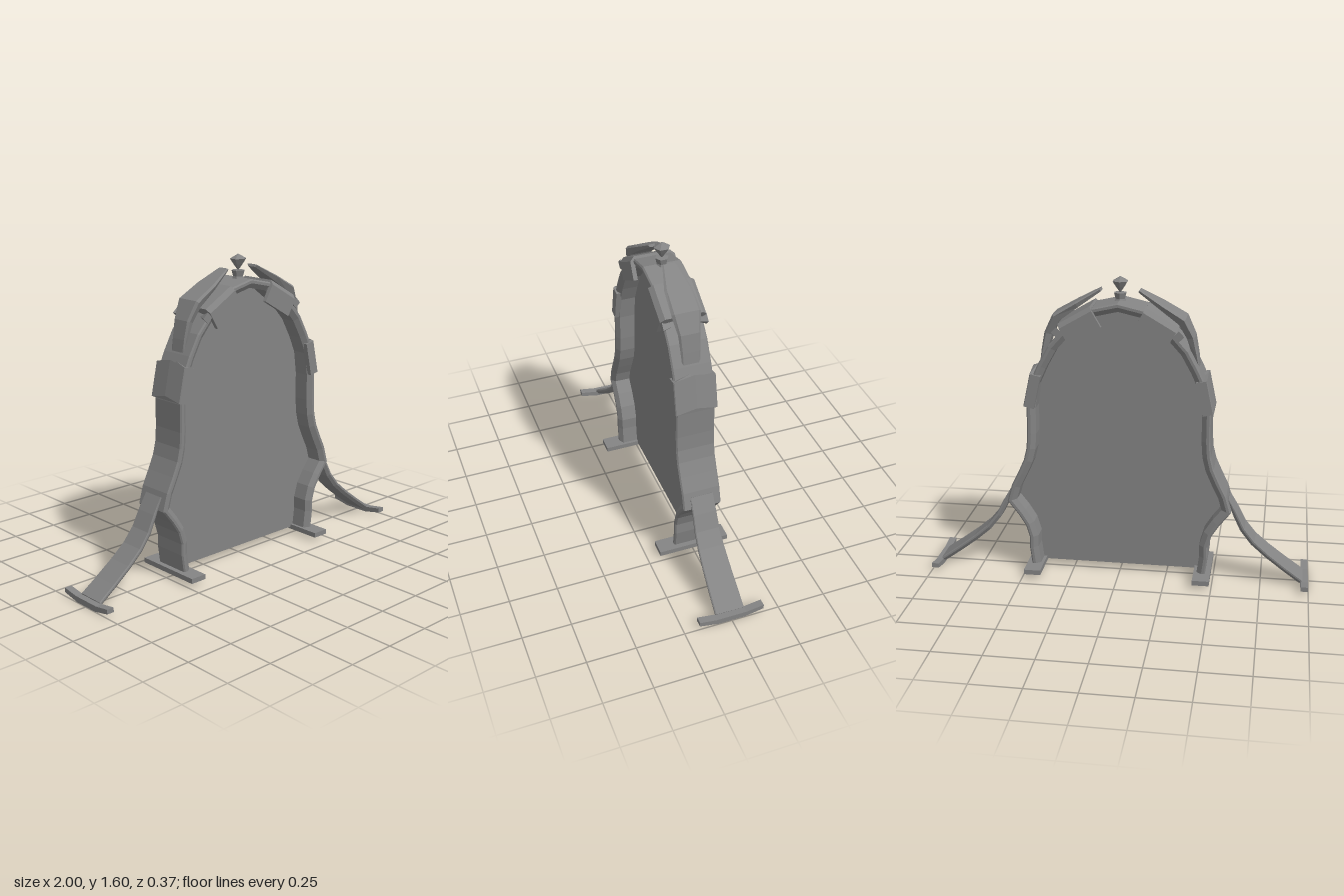
import * as THREE from 'three';

const color = 0x848484;
const material = new THREE.MeshStandardMaterial({ color, flatShading: true });
const panelMaterial = new THREE.MeshStandardMaterial({ color, side: THREE.DoubleSide });

// Sweeps a section along a path in the xy plane. Section points are [z, outward, lift along path],
// counter-clockwise; section(i) returns them for path point i. side = -1 mirrors the part in x.
function sweep(path, section, side = 1) {
  const pts = path.map(([x, y]) => new THREE.Vector2(x, y));
  const dir = (i) => pts[i + 1].clone().sub(pts[i]).normalize();
  const last = pts.length - 1;
  const count = section(0).length;
  const position = [], index = [];
  pts.forEach((p, i) => {
    const a = dir(Math.max(i - 1, 0)), b = dir(Math.min(i, last - 1));
    const t = a.clone().add(b).normalize();
    const miter = Math.min(1 / Math.max(t.dot(a), 0.1), 1.5);
    for (const [z, n, lift = 0] of section(i)) {
      position.push(side * (p.x + t.y * n * miter + t.x * lift), p.y - t.x * n * miter + t.y * lift, z);
    }
  });
  const face = (a, b, c) => (side > 0 ? index.push(a, b, c) : index.push(a, c, b));
  for (let i = 0; i < last; i++) {
    for (let j = 0; j < count; j++) {
      const k = (j + 1) % count, r = i * count, s = r + count;
      face(r + j, r + k, s + k);
      face(r + j, s + k, s + j);
    }
  }
  const flat = section(0).map(([z, n]) => new THREE.Vector2(z, n));
  for (const [a, b, c] of THREE.ShapeUtils.triangulateShape(flat, [])) {
    face(a, c, b);
    face(last * count + a, last * count + b, last * count + c);
  }
  const indexed = new THREE.BufferGeometry();
  indexed.setAttribute('position', new THREE.Float32BufferAttribute(position, 3));
  indexed.setIndex(index);
  const geometry = indexed.toNonIndexed();
  geometry.computeVertexNormals();
  return geometry;
}

// Strip with a small outer chamfer and bevelled inner edges
const strip = (w, t) => [
  [w, -t * 0.45], [w, -t * 0.15], [w * 0.93, 0], [-w * 0.93, 0], [-w, -t * 0.15],
  [-w, -t * 0.45], [-w * 0.82, -t], [w * 0.82, -t],
];
// Plate, widest just under its outer face
const plate = (w, t) => [
  [w, -t * 0.25], [w * 0.82, 0], [-w * 0.82, 0], [-w, -t * 0.25], [-w * 0.78, -t], [w * 0.78, -t],
];
// Saddle clamped over the strip, with chamfered corners and a ridge along its middle
const saddle = (w, depth, t, chamfer, ridge, lift) => [
  [w, -depth], [w, -ridge - chamfer], [w - chamfer, -ridge], [0, 0, lift],
  [chamfer - w, -ridge], [-w, -ridge - chamfer], [-w, -depth],
  [t - w, -depth], [t - w, -t - ridge - chamfer], [0, -t, lift], [w - t, -t - ridge - chamfer], [w - t, -depth],
];

// Shallow cross bar, lower in the middle, running along z
function crossBar(h, width) {
  const shape = new THREE.Shape([
    [-h, 0.02], [-0.07, 0], [0.07, 0], [h, 0.02], [h, 0.044], [0.08, 0.03], [-0.08, 0.03], [-h, 0.044],
  ].map(([x, y]) => new THREE.Vector2(x, y)));
  return new THREE.ExtrudeGeometry(shape, { depth: width, bevelEnabled: false })
    .translate(0, 0, -width / 2).rotateY(Math.PI / 2);
}

export function createModel() {
  const group = new THREE.Group();
  const add = (name, geometry, mat = material) => {
    const mesh = new THREE.Mesh(geometry, mat);
    mesh.name = name;
    group.add(mesh);
    return mesh;
  };

  // Arched frame: outer line of one half, then mirrored
  const half = [
    [0.46, 0.03], [0.474, 0.14], [0.473, 0.2], [0.492, 0.265], [0.53, 0.325], [0.588, 0.4], [0.562, 0.49],
    [0.525, 0.565], [0.494, 0.635], [0.478, 0.7], [0.472, 0.78], [0.472, 0.92], [0.455, 1.05],
    [0.41, 1.15], [0.355, 1.25], [0.27, 1.345], [0.13, 1.45],
  ];
  const mirrored = half.map(([x, y]) => [-x, y]).reverse();
  const arch = [...half, [0, 1.48], ...mirrored];
  add('archFrame', sweep(arch, () => strip(0.1, 0.045)));

  // Thin panel filling the arch
  const outline = arch.map(([x, y]) => new THREE.Vector2(x - Math.sign(x) * 0.022, y < 0.1 ? 0.035 : y - (y > 1.2 ? 0.025 : 0)));
  add('panel', new THREE.ShapeGeometry(new THREE.Shape(outline)), panelMaterial);

  // Flared leg: x, y, half width, thickness
  const leg = [
    [0.97, 0.038, 0.076, 0.028], [0.88, 0.102, 0.074, 0.028], [0.79, 0.17, 0.071, 0.028], [0.715, 0.235, 0.068, 0.028],
    [0.66, 0.305, 0.065, 0.028], [0.62, 0.385, 0.062, 0.026], [0.573, 0.465, 0.06, 0.01],
  ];
  // Shoulder plate: x, y, half width, thickness
  const shoulder = [
    [0.408, 1.14, 0.045, 0.012], [0.397, 1.22, 0.05, 0.03], [0.38, 1.31, 0.056, 0.04], [0.335, 1.405, 0.074, 0.045],
    [0.22, 1.47, 0.068, 0.03], [0.1, 1.535, 0.034, 0.014],
  ];

  for (const side of [1, -1]) {
    const label = side > 0 ? 'left' : 'right';
    add(label + 'FlaredLeg', sweep(leg, (i) => strip(leg[i][2], leg[i][3]), side));
    add(label + 'ShoulderPlate', sweep(shoulder, (i) => plate(shoulder[i][2], shoulder[i][3]), side));
    add(label + 'TopClamp', sweep([[0.303, 1.365], [0.14, 1.46]], () => saddle(0.117, 0.117, 0.022, 0.022, 0, 0), side));
    add(label + 'SideBand', sweep([[0.492, 0.932], [0.455, 1.105]], () => saddle(0.108, 0.062, 0.03, 0.004, 0.006, 0.02), side));

    // Pointed lugs between clamp and shoulder plate
    for (const z of [1, -1]) {
      const lug = add(label + (z > 0 ? 'Front' : 'Back') + 'Lug', new THREE.ConeGeometry(0.028, 0.06, 4));
      lug.rotation.x = -z * Math.PI / 2;
      lug.position.set(side * 0.305, 1.325, z * 0.083);
    }

    add(label + 'ArchFoot', new THREE.BoxGeometry(0.088, 0.026, 0.374)).position.set(side * 0.445, 0.036, 0);
    add(label + 'LegFoot', crossBar(0.17, 0.038)).position.set(side * 0.979, 0, 0);
  }

  // Faceted finial on a short neck
  const lathe = (points, sides) => new THREE.LatheGeometry(points.map(([r, y]) => new THREE.Vector2(r, y)), sides);
  add('finialNeck', lathe([[0, 1.465], [0.034, 1.465], [0.026, 1.485], [0.034, 1.515], [0, 1.517]], 6));
  add('finialGem', lathe([[0, 1.512], [0.024, 1.545], [0.042, 1.573], [0, 1.597]], 6));

  return group;
}
